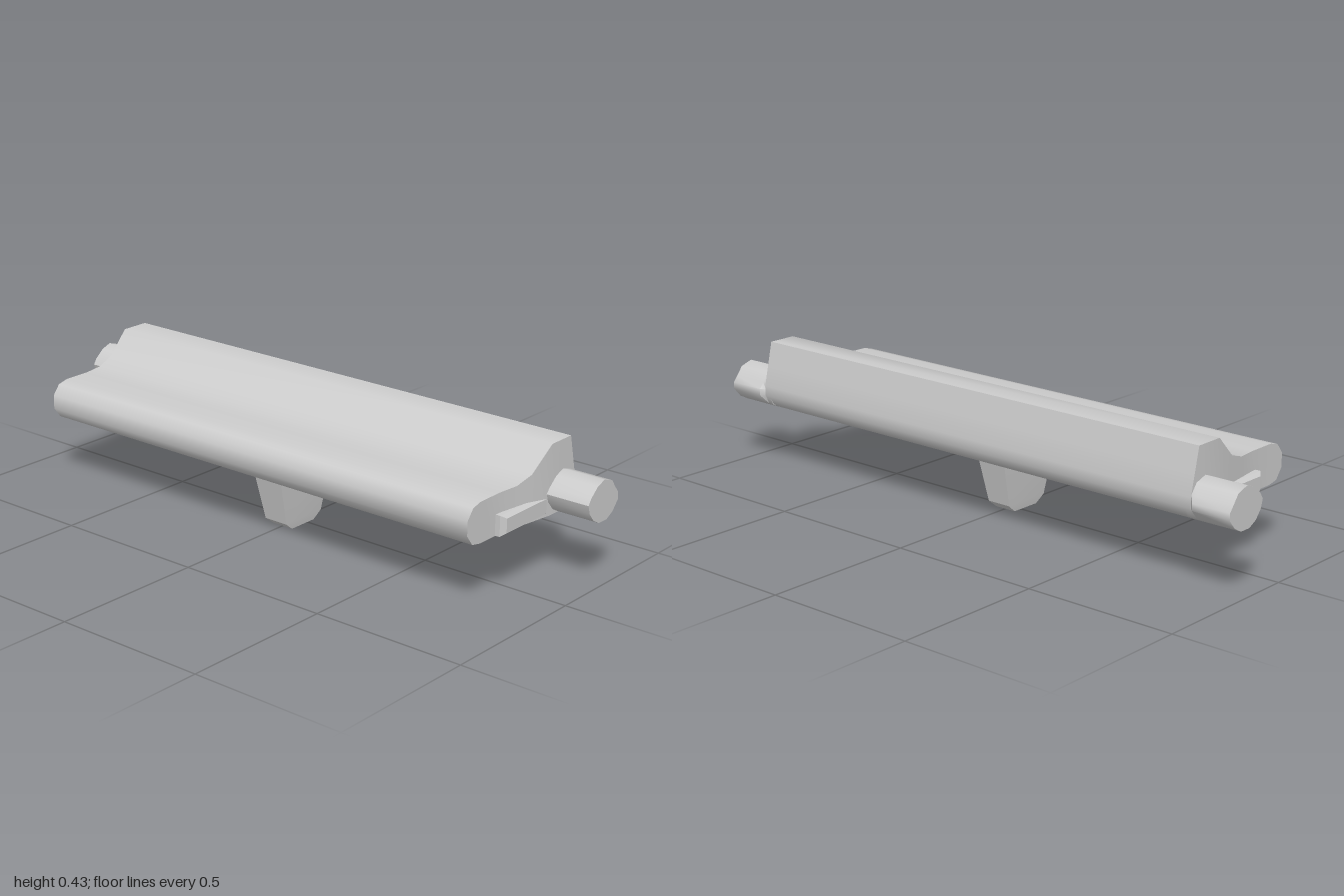
import * as THREE from 'three';
import { toCreasedNormals } from 'three/addons/utils/BufferGeometryUtils.js';

const material = new THREE.MeshStandardMaterial({ color: 0xcccccc });

// Skin a row of matching rings (counter-clockwise about the direction of travel) and cap both ends.
function loft(name, rings, crease) {
  const n = rings[0].length, index = [];
  for (let r = 0; r < rings.length - 1; r++) {
    for (let i = 0; i < n; i++) {
      const a = r * n + i, b = r * n + (i + 1) % n;
      index.push(a, b, b + n, a, b + n, a + n);
    }
  }
  const last = (rings.length - 1) * n;
  for (let i = 1; i < n - 1; i++) {
    index.push(0, i + 1, i, last, last + i, last + i + 1);
  }
  const geometry = new THREE.BufferGeometry();
  geometry.setAttribute('position', new THREE.Float32BufferAttribute(rings.flat(2), 3));
  geometry.setIndex(index);
  const mesh = new THREE.Mesh(toCreasedNormals(geometry, crease), material);
  mesh.name = name;
  return mesh;
}

// Reflect rings running along x, keeping the direction of travel outward-facing.
const mirrorX = (rings) => rings.map((ring) => ring.map(([x, y, z]) => [-x, y, z])).reverse();

export function createModel() {
  const model = new THREE.Group();
  model.name = 'barModel';

  // Long bar: [z, bottom, top] from back to front, narrowing slightly towards the front
  const stations = [
    [-0.238, 0.25, 0.283], [-0.222, 0.222, 0.352], [-0.205, 0.21, 0.425], [-0.19, 0.205, 0.425],
    [-0.11, 0.205, 0.425], [-0.03, 0.205, 0.352], [0.03, 0.205, 0.333], [0.1, 0.205, 0.331],
    [0.19, 0.205, 0.331], [0.225, 0.212, 0.322], [0.25, 0.245, 0.29],
  ];
  model.add(loft('bar', stations.map(([z, low, high]) => {
    const x = 0.86 - 0.03 * THREE.MathUtils.clamp((z + 0.11) / 0.21, 0, 1);
    return [[-x, low, z], [x, low, z], [x, high, z], [-x, high, z]];
  }), 0.8));

  // Tapered fin under the middle: [y, z back, z front, half width]
  const finLevels = [
    [0, -0.03, 0.073, 0.038], [0.025, -0.06, 0.105, 0.042], [0.22, -0.107, 0.152, 0.056],
  ];
  model.add(loft('fin', finLevels.map(([y, back, front, x]) =>
    [[-x, y, back], [-x, y, front], [x, y, front], [x, y, back]]), 0.5));

  // End pin outline as [z, y]
  const pinOutline = [
    [-0.095, 0.275], [-0.103, 0.248], [-0.125, 0.221], [-0.155, 0.205], [-0.195, 0.205],
    [-0.225, 0.221], [-0.25, 0.25], [-0.25, 0.272], [-0.235, 0.291], [-0.213, 0.32],
    [-0.172, 0.333], [-0.138, 0.32], [-0.107, 0.294],
  ];
  const pinRing = (x, back) => pinOutline.map(([z, y]) => [x, y, Math.max(z, back)]);
  const pinRings = [pinRing(0.84, -0.236), pinRing(0.86, -0.236), pinRing(0.873, -0.25), pinRing(1, -0.25)];

  // Low ridge along each end, with a bevelled outer face
  const ridgeRing = (x, low, high, back, front) =>
    [[x, low, back], [x, high, back], [x, high, front], [x, low, front]];
  const ridgeRings = [
    ridgeRing(0.8, 0.206, 0.27, -0.15, 0.117),
    ridgeRing(0.846, 0.206, 0.27, -0.15, 0.117),
    ridgeRing(0.858, 0.215, 0.26, -0.15, 0.1),
  ];

  for (const [side, place] of [['left', (r) => r], ['right', mirrorX]]) {
    model.add(loft(side + 'Pin', place(pinRings), 0.8));
    model.add(loft(side + 'Ridge', place(ridgeRings), 0.5));
  }
  return model;
}
